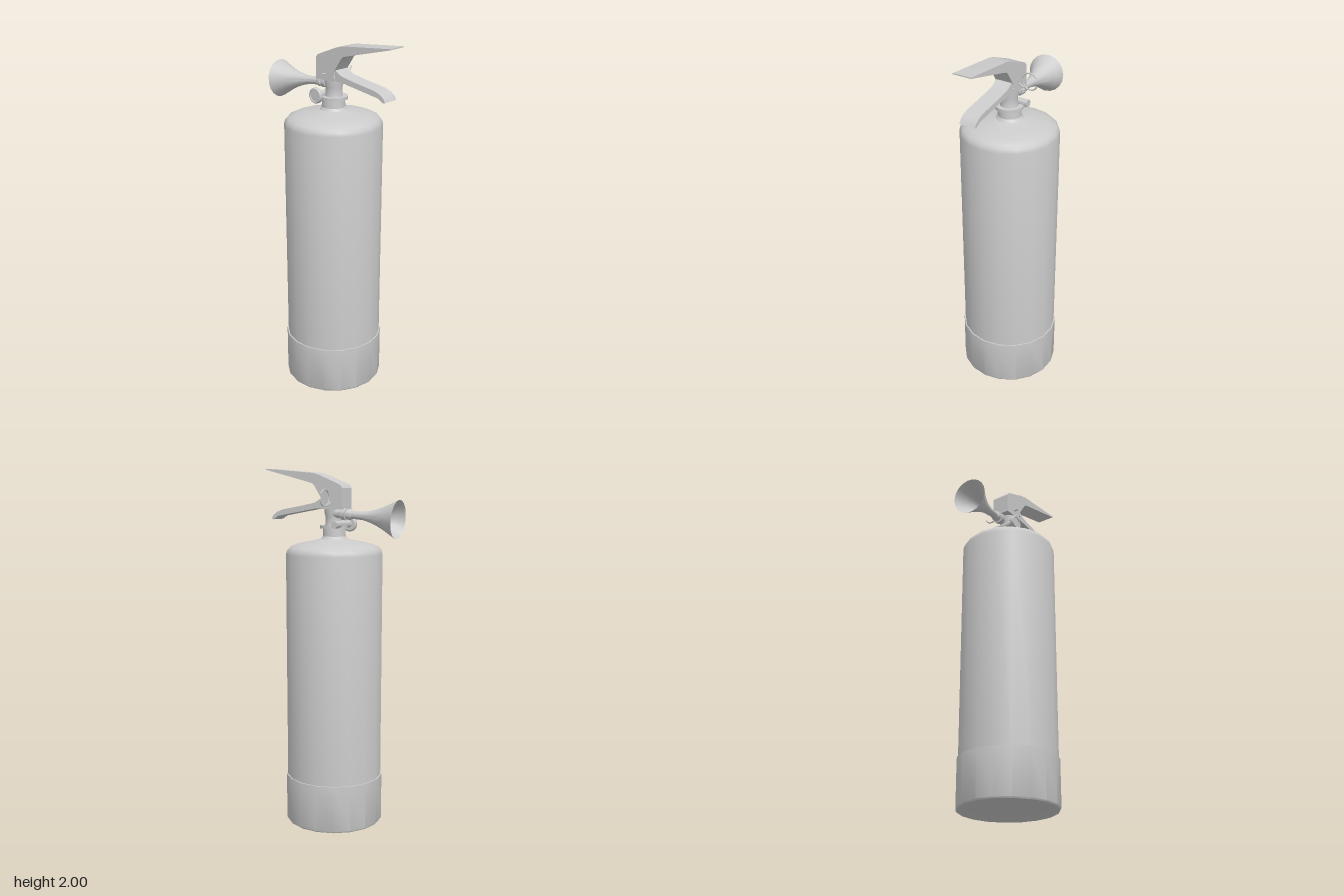
import * as THREE from 'three';
import { toCreasedNormals } from 'three/addons/utils/BufferGeometryUtils.js';

const grey = new THREE.MeshStandardMaterial({ color: 0xcccccc });
const greyOpen = new THREE.MeshStandardMaterial({ color: 0xcccccc, side: THREE.DoubleSide });

export function createModel() {
  const model = new THREE.Group();

  function add(name, geometry, position = [0, 0, 0], material = grey) {
    const mesh = new THREE.Mesh(toCreasedNormals(geometry, 0.6), material);
    mesh.name = name;
    mesh.position.set(...position);
    model.add(mesh);
    return mesh;
  }
  // Lathe from [radius, height] pairs, with corners on the x axis
  function turned(profile, sides) {
    const points = profile.map(([r, y]) => new THREE.Vector2(r, y));
    return new THREE.LatheGeometry(points, sides).rotateY(Math.PI / 2);
  }
  // Side outline in x and y, given thickness centred on z = 0
  function slab(outline, width) {
    const shape = new THREE.Shape(outline.map(([x, y]) => new THREE.Vector2(x, y)));
    return new THREE.ExtrudeGeometry(shape, { depth: width, bevelEnabled: false }).translate(0, 0, -width / 2);
  }

  // Tank with rounded shoulder and neck
  add('tank', turned([
    [0.27, 0.26], [0.27, 1.535], [0.265, 1.555], [0.25, 1.572], [0.215, 1.587],
    [0.165, 1.6], [0.11, 1.609], [0.075, 1.618], [0.064, 1.632], [0.062, 1.685],
  ], 18), [-0.008, 0, 0]);

  // Foot sleeve with a shallow recessed underside
  add('footSleeve', turned([
    [0, 0.025], [0.2, 0.02], [0.262, 0.002], [0.272, 0], [0.277, 0.008], [0.277, 0.27], [0.268, 0.27],
  ], 18), [-0.008, 0, 0]);

  // Valve
  add('neckCollar', turned([[0, 1.675], [0.076, 1.675], [0.076, 1.692], [0.05, 1.692]], 24), [-0.004, 0, 0]);
  add('valveBody', turned([
    [0.05, 1.685], [0.046, 1.7], [0.046, 1.74], [0.052, 1.765], [0.052, 1.79], [0, 1.79],
  ], 20), [-0.004, 0, 0]);
  add('crossPipe', new THREE.CylinderGeometry(0.02, 0.02, 0.16, 16).rotateX(Math.PI / 2), [-0.057, 1.698, -0.005]);

  // Pressure gauge with a raised rim
  add('gauge', turned([
    [0, 0], [0.036, 0], [0.043, 0.005], [0.043, 0.019], [0.039, 0.025], [0.033, 0.025], [0.032, 0.02], [0, 0.02],
  ], 20).rotateX(Math.PI / 2), [-0.058, 1.698, 0.073]);

  // Discharge horn, turned along its own axis and open at the mouth
  const horn = new THREE.Group();
  horn.name = 'hornAssembly';
  horn.position.set(-0.397, 1.73, 0.008);
  horn.quaternion.setFromUnitVectors(new THREE.Vector3(0, 1, 0), new THREE.Vector3(1, 0.08, -0.075).normalize());
  model.add(horn);
  horn.add(add('horn', turned([
    [0.104, 0], [0.083, 0.04], [0.062, 0.08], [0.043, 0.125], [0.031, 0.165], [0.023, 0.205], [0.022, 0.27],
  ], 18), [0, 0, 0], greyOpen));
  horn.add(add('hornFitting', turned([
    [0.02, 0.268], [0.027, 0.274], [0.029, 0.28], [0.029, 0.296], [0.024, 0.298],
    [0.024, 0.304], [0.033, 0.305], [0.033, 0.33], [0.026, 0.335], [0.026, 0.39], [0, 0.39],
  ], 18)));

  // Fixed upper handle and its head block
  add('upperHandle', slab([
    [-0.087, 1.78], [-0.087, 1.895], [-0.075, 1.912], [0.06, 1.965], [0.1, 1.975], [0.41, 2],
    [0.41, 1.994], [0.135, 1.928], [0.105, 1.92], [0.09, 1.908], [0.04, 1.832], [0.045, 1.78],
  ], 0.106));

  // Squeeze lever
  add('squeezeLever', slab([
    [0.0, 1.785], [0.0, 1.84], [0.04, 1.845], [0.09, 1.815], [0.16, 1.8], [0.305, 1.774], [0.345, 1.76],
    [0.368, 1.742], [0.38, 1.722], [0.368, 1.718], [0.335, 1.738], [0.28, 1.748], [0.09, 1.782],
  ], 0.094));

  // Hinge rivet, safety pin and pull ring
  add('hingeRivet', new THREE.CylinderGeometry(0.007, 0.007, 0.116, 12).rotateX(Math.PI / 2), [0.036, 1.805, 0]);
  add('safetyPin', new THREE.CylinderGeometry(0.005, 0.005, 0.14, 10).rotateX(Math.PI / 2), [-0.018, 1.816, 0.01]);
  const loop = [[-0.055, 1.816], [-0.072, 1.806], [-0.092, 1.802]];
  for (let i = 0; i <= 14; i++) {
    const a = -2.1 + (i / 14) * 5.1;
    loop.push([-0.117 - Math.cos(a + Math.PI / 2 + 1.3) * -0.045, 1.84 + Math.sin(a + Math.PI / 2 + 1.3) * 0.045]);
  }
  // Keep the tail of the pin and the ring as two clean tubes
  const tail = new THREE.CatmullRomCurve3(loop.slice(0, 3).map(([z, y]) => new THREE.Vector3(-0.018, y, z)));
  add('ringTail', new THREE.TubeGeometry(tail, 8, 0.004, 8));
  add('pullRing', new THREE.TorusGeometry(0.045, 0.004, 8, 32, 5.4).rotateZ(0.5).rotateY(Math.PI / 2), [-0.018, 1.842, -0.117]);

  return model;
}
